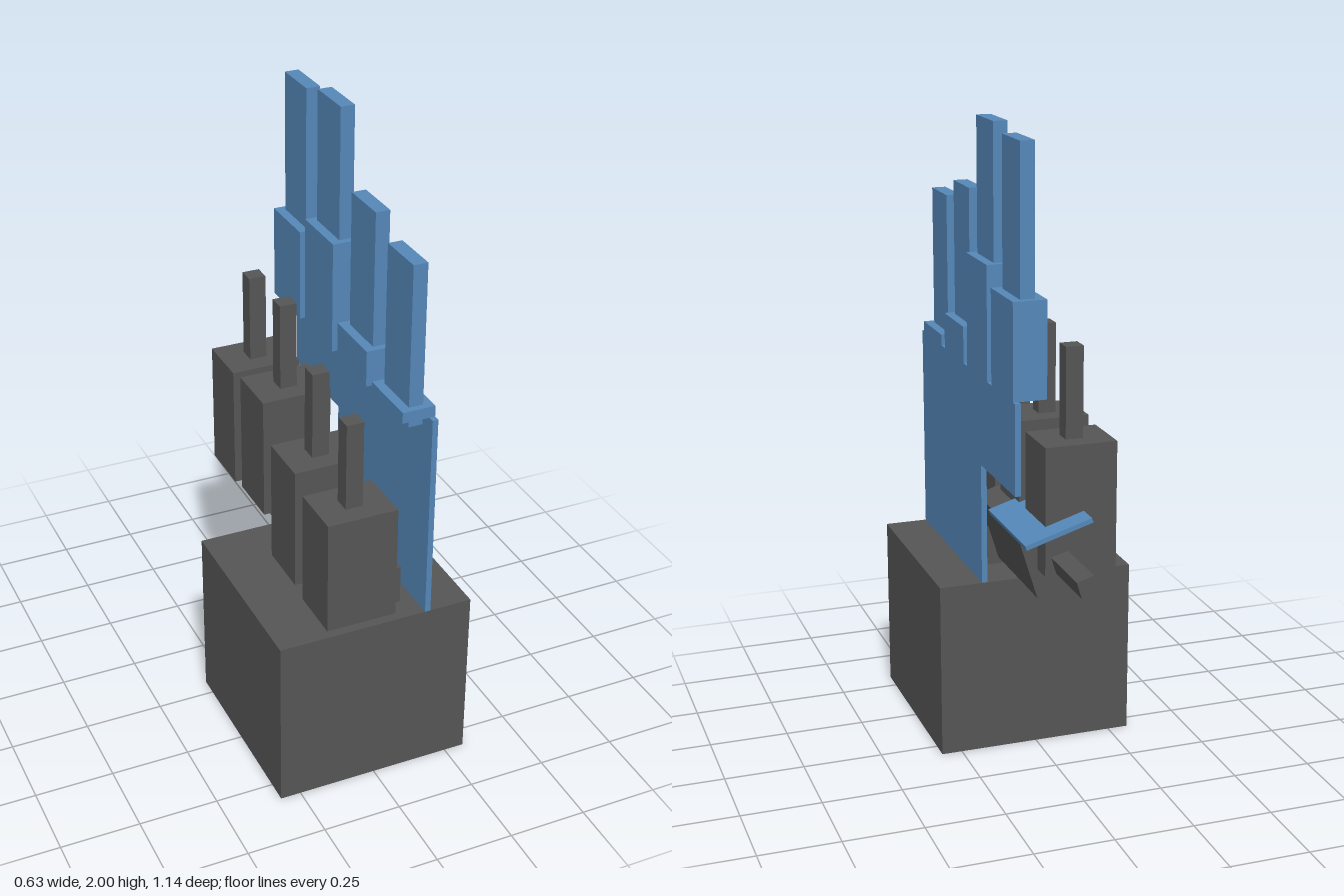
import * as THREE from 'three';

const blue = new THREE.MeshStandardMaterial({ color: 0x5588b8 });
blue.name = 'blue';
const darkGrey = new THREE.MeshStandardMaterial({ color: 0x555555 });
darkGrey.name = 'dark grey';

// Box given by its [min, max] range on each axis
function box(name, material, [x0, x1], [y0, y1], [z0, z1]) {
  const mesh = new THREE.Mesh(new THREE.BoxGeometry(x1 - x0, y1 - y0, z1 - z0), material);
  mesh.position.set((x0 + x1) / 2, (y0 + y1) / 2, (z0 + z1) / 2);
  mesh.name = name;
  return mesh;
}

const around = (centre, size) => [centre - size / 2, centre + size / 2];

export function createModel() {
  const model = new THREE.Group();
  model.name = 'mechanicalHand';

  // Wrist block
  model.add(box('wristBase', darkGrey, [-0.315, 0.315], [0, 0.565], [-0.06, 0.57]));

  // Thin palm with a step above the thumb
  const outline = [[0.57, 0.565], [0.57, 1.23], [-0.38, 1.23], [-0.38, 0.95], [-0.057, 0.95], [-0.057, 0.565]];
  const palmShape = new THREE.Shape(outline.map(([z, y]) => new THREE.Vector2(z, y)));
  const palm = new THREE.Mesh(
    new THREE.ExtrudeGeometry(palmShape, { depth: 0.018, bevelEnabled: false }), blue);
  palm.rotation.y = -Math.PI / 2;
  palm.position.x = 0.178;
  palm.name = 'palm';
  model.add(palm);

  // Fingers, each with an upright motor behind it
  const fingers = [
    { z: -0.264, knuckle: 1.525, tip: 1.975, motor: 1.08 },
    { z: -0.025, knuckle: 1.585, tip: 2.0, motor: 1.095 },
    { z: 0.213, knuckle: 1.345, tip: 1.77, motor: 0.98 },
    { z: 0.45, knuckle: 1.265, tip: 1.71, motor: 0.935 },
  ];
  for (const { z, knuckle, tip, motor } of fingers) {
    const finger = new THREE.Group();
    finger.name = 'finger';
    finger.add(box('lowerFinger', blue, [0.074, 0.178], [1.23, knuckle], around(z, 0.2)));
    finger.add(box('upperFinger', blue, [0.104, 0.149], [tip - 0.51, tip], around(z, 0.158)));
    const drive = new THREE.Group();
    drive.name = 'fingerMotor';
    drive.add(box('motorBody', darkGrey, [-0.15, 0.075], [motor - 0.4, motor], around(z, 0.18)));
    drive.add(box('motorShaft', darkGrey, around(-0.038, 0.055), [motor, motor + 0.282], around(z, 0.055)));
    model.add(finger, drive);
  }

  // Motor lying half sunk in the wrist
  model.add(box('wristMotor', darkGrey, [-0.11, 0.115], [0.51, 0.69], [0.09, 0.49]));

  // Tilted thumb with its motor pointing backwards
  const thumb = new THREE.Group();
  thumb.name = 'thumb';
  thumb.position.set(0.022, 0.72, 0);
  thumb.rotation.z = -0.297;
  thumb.add(box('thumbMotorBody', darkGrey, around(0, 0.18), around(0, 0.225), [-0.285, 0.105]));
  thumb.add(box('thumbMotorShaft', darkGrey, around(0, 0.055), around(0, 0.055), [-0.57, -0.285]));
  thumb.add(box('thumbPlate', blue, [-0.11, 0.107], [0.1125, 0.1275], [-0.423, -0.075]));
  model.add(thumb);

  return model;
}
